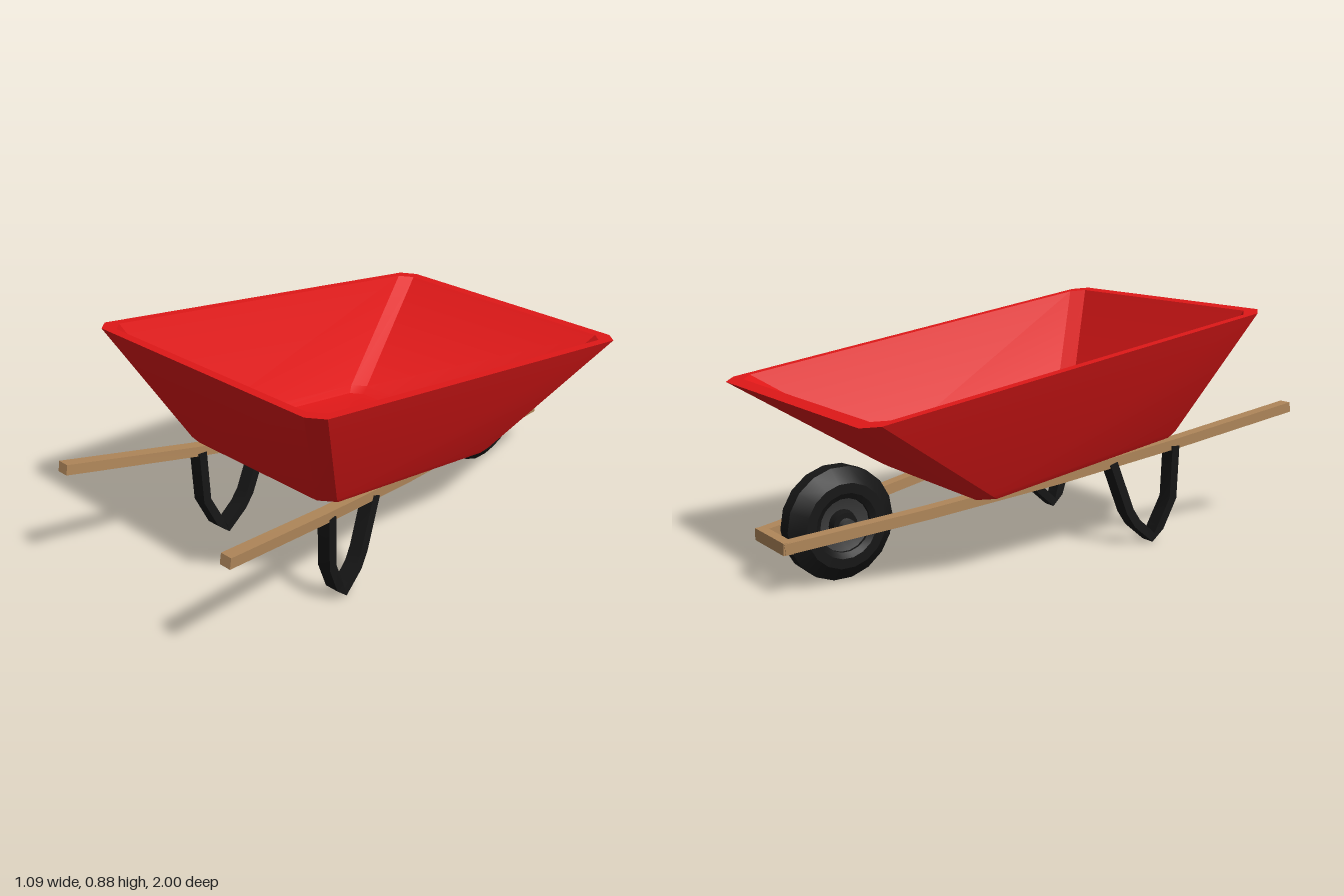
import * as THREE from 'three';
import { toCreasedNormals } from 'three/addons/utils/BufferGeometryUtils.js';

const mat = (color) => new THREE.MeshStandardMaterial({ color });
const CREASE = 0.5;

// Skin between closed rings (counterclockwise about the direction of travel), capped at both ends.
function loft(rings) {
  const n = rings[0].length;
  const index = [];
  for (let i = 0; i < rings.length - 1; i++) {
    for (let j = 0; j < n; j++) {
      const a = i * n + j, b = i * n + (j + 1) % n;
      index.push(a, b, b + n, a, b + n, a + n);
    }
  }
  const last = (rings.length - 1) * n;
  for (let j = 1; j < n - 1; j++) {
    index.push(0, j + 1, j, last, last + j, last + j + 1);
  }
  const geo = new THREE.BufferGeometry();
  geo.setAttribute('position', new THREE.Float32BufferAttribute(rings.flat(2), 3));
  geo.setIndex(index);
  return toCreasedNormals(geo, CREASE);
}

// Rectangle with cut corners, lying in the sloping plane of the tray.
function trayRing([hx, front, back, cut, height]) {
  return [
    [hx, front - cut], [hx, back + cut], [hx - cut, back], [cut - hx, back],
    [-hx, back + cut], [-hx, front - cut], [cut - hx, front], [hx - cut, front],
  ].map(([x, z]) => [x, height + 0.147 * z, z]);
}

// Flat bar along points, its width kept along x.
function bar(points, width, thickness) {
  const p = points.map((q) => new THREE.Vector3(...q));
  const rings = p.map((c, i) => {
    const t = p[Math.min(i + 1, p.length - 1)].clone().sub(p[Math.max(i - 1, 0)]);
    t.x = 0;
    t.normalize();
    const u = new THREE.Vector3(1, 0, 0);
    const v = t.clone().cross(u);
    return [[1, 1], [-1, 1], [-1, -1], [1, -1]].map(([a, b]) => c.clone()
      .addScaledVector(u, a * width / 2).addScaledVector(v, b * thickness / 2).toArray());
  });
  return loft(rings);
}

export function createModel() {
  const model = new THREE.Group();
  model.name = 'wheelbarrow';
  const red = mat(0xe01818), wood = mat(0xb0875a), black = mat(0x161616);
  const grey = mat(0x3c3c3c);

  const add = (parent, name, geometry, material) => {
    const mesh = new THREE.Mesh(geometry, material);
    mesh.name = name;
    parent.add(mesh);
    return mesh;
  };

  // Tray: outside from floor to rim, then inside back down. [half width, front z, back z, cut, height]
  add(model, 'tray', loft([
    [0.31, 0.45, -0.32, 0.04, 0.334],
    [0.35, 0.49, -0.38, 0.05, 0.343],
    [0.365, 0.51, -0.41, 0.05, 0.365],
    [0.545, 0.73, -0.925, 0.05, 0.771],
    [0.51, 0.69, -0.87, 0.045, 0.771],
    [0.345, 0.495, -0.4, 0.045, 0.395],
    [0.325, 0.475, -0.365, 0.04, 0.371],
    [0.28, 0.435, -0.3, 0.04, 0.362],
  ].map(trayRing)), red);

  const frame = new THREE.Group();
  frame.name = 'frame';
  frame.position.x = 0.01;
  model.add(frame);

  // Handles and bent legs, one of each per side
  const railX = (z) => 0.253 + 0.163 * z;
  for (const [side, s] of [['left', 1], ['right', -1]]) {
    const rail = [[1, 0.473], [0.5, 0.38], [0, 0.297], [-0.5, 0.229], [-0.995, 0.172]];
    add(frame, side + 'Handle', bar(rail.map(([z, y]) => [s * railX(z), y, z]), 0.046, 0.038), wood);

    const leg = [
      [0.33, 0.37, 0.482], [0.325, 0.17, 0.478], [0.312, 0.06, 0.43], [0.308, 0.025, 0.4],
      [0.302, 0.09, 0.325], [0.297, 0.14, 0.293], [0.287, 0.33, 0.22],
    ];
    add(frame, side + 'Leg', bar(leg.map(([x, y, z]) => [s * x, y, z]), 0.056, 0.034), black);
  }

  // Cross bar joining the handles beyond the wheel
  const cross = add(frame, 'crossBar', new THREE.BoxGeometry(0.222, 0.042, 0.036), wood);
  cross.position.set(0, 0.173, -0.982);

  // Wheel, turned about x
  const wheel = new THREE.Group();
  wheel.name = 'wheel';
  wheel.position.set(0, 0.2, -0.745);
  wheel.rotation.z = -Math.PI / 2;
  frame.add(wheel);
  const turned = (name, half, material) => {
    const mirrored = half.map(([r, y]) => [r, -y]).reverse();
    const profile = [...half, ...mirrored].map(([r, y]) => new THREE.Vector2(r, y));
    add(wheel, name, toCreasedNormals(new THREE.LatheGeometry(profile, 18), CREASE), material);
  };
  turned('tire', [[0.09, -0.03], [0.095, -0.058], [0.115, -0.07], [0.15, -0.07], [0.2, -0.028]], black);
  turned('rim', [[0, -0.035], [0.055, -0.035], [0.094, -0.05]], grey);
  turned('hub', [[0, -0.06], [0.045, -0.06], [0.052, -0.035]], black);
  turned('hubCap', [[0, -0.085], [0.026, -0.085]], grey);
  turned('axle', [[0, -0.145], [0.012, -0.145]], wood);

  return model;
}
